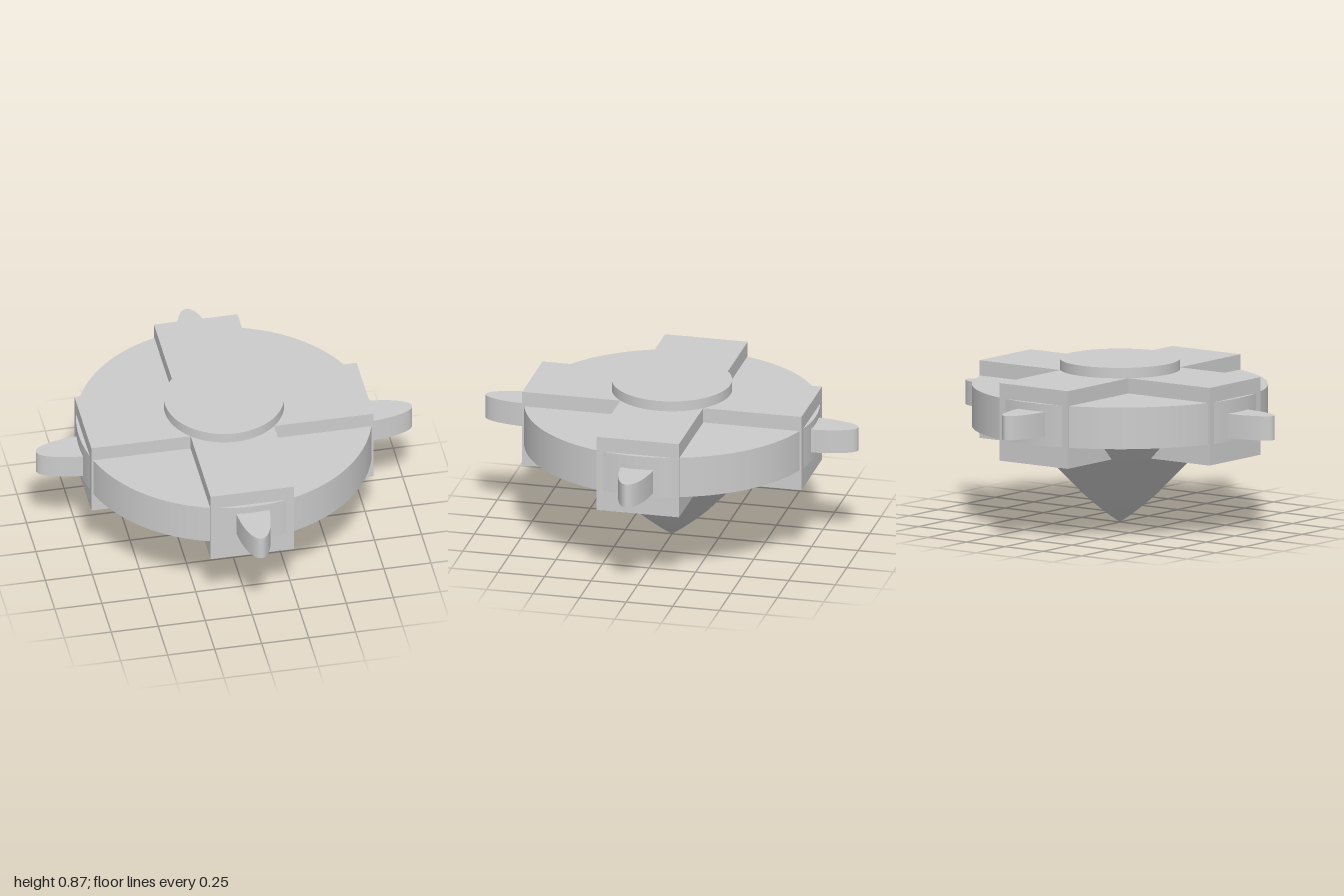
import * as THREE from 'three';

const material = new THREE.MeshStandardMaterial({ color: 0xcccccc });

function addPart(parent, name, geometry, x = 0, y = 0, z = 0) {
  const mesh = new THREE.Mesh(geometry, material);
  mesh.name = name;
  mesh.position.set(x, y, z);
  parent.add(mesh);
  return mesh;
}

// Extrude a plan shape straight up by the given height
function slab(shape, height) {
  const geometry = new THREE.ExtrudeGeometry(shape, { depth: height, bevelEnabled: false, curveSegments: 48 });
  return geometry.rotateX(-Math.PI / 2);
}

export function createModel() {
  const model = new THREE.Group();
  model.name = 'spinningTop';

  // Round body and top cap
  addPart(model, 'disc', new THREE.CylinderGeometry(0.772, 0.772, 0.22, 128), 0, 0.62, 0);
  addPart(model, 'cap', new THREE.CylinderGeometry(0.314, 0.314, 0.06, 96), 0, 0.835, 0);

  // Cross of four square arms
  const l = 0.75, w = 0.222;
  const cross = new THREE.Shape([
    [w, w], [w, l], [-w, l], [-w, w], [-l, w], [-l, -w],
    [-w, -w], [-w, -l], [w, -l], [w, -w], [l, -w], [l, w],
  ].map(([x, y]) => new THREE.Vector2(x, y)));
  addPart(model, 'crossArms', slab(cross, 0.41), 0, 0.4, 0);

  // Pointed underside, slightly flared near the tip
  const profile = [[0, 0], [0.07, 0.05], [0.15, 0.115], [0.2, 0.16], [0.43, 0.4], [0.53, 0.515]]
    .map(([r, y]) => new THREE.Vector2(r, y));
  addPart(model, 'spinningTip', new THREE.LatheGeometry(profile, 96));

  // Half-elliptical fins; the side pair sits slightly lower
  const finShape = new THREE.Shape();
  finShape.absellipse(0, 0, 0.3, 0.09, -Math.PI / 2, Math.PI / 2, false, 0);
  const finGeometry = slab(finShape, 0.128);
  for (let i = 0; i < 4; i++) {
    const a = i * Math.PI / 2;
    const y = i % 2 ? 0.562 : 0.53;
    const fin = addPart(model, 'fin', finGeometry, 0.7 * Math.cos(a), y, -0.7 * Math.sin(a));
    fin.rotation.y = a;
  }
  return model;
}
